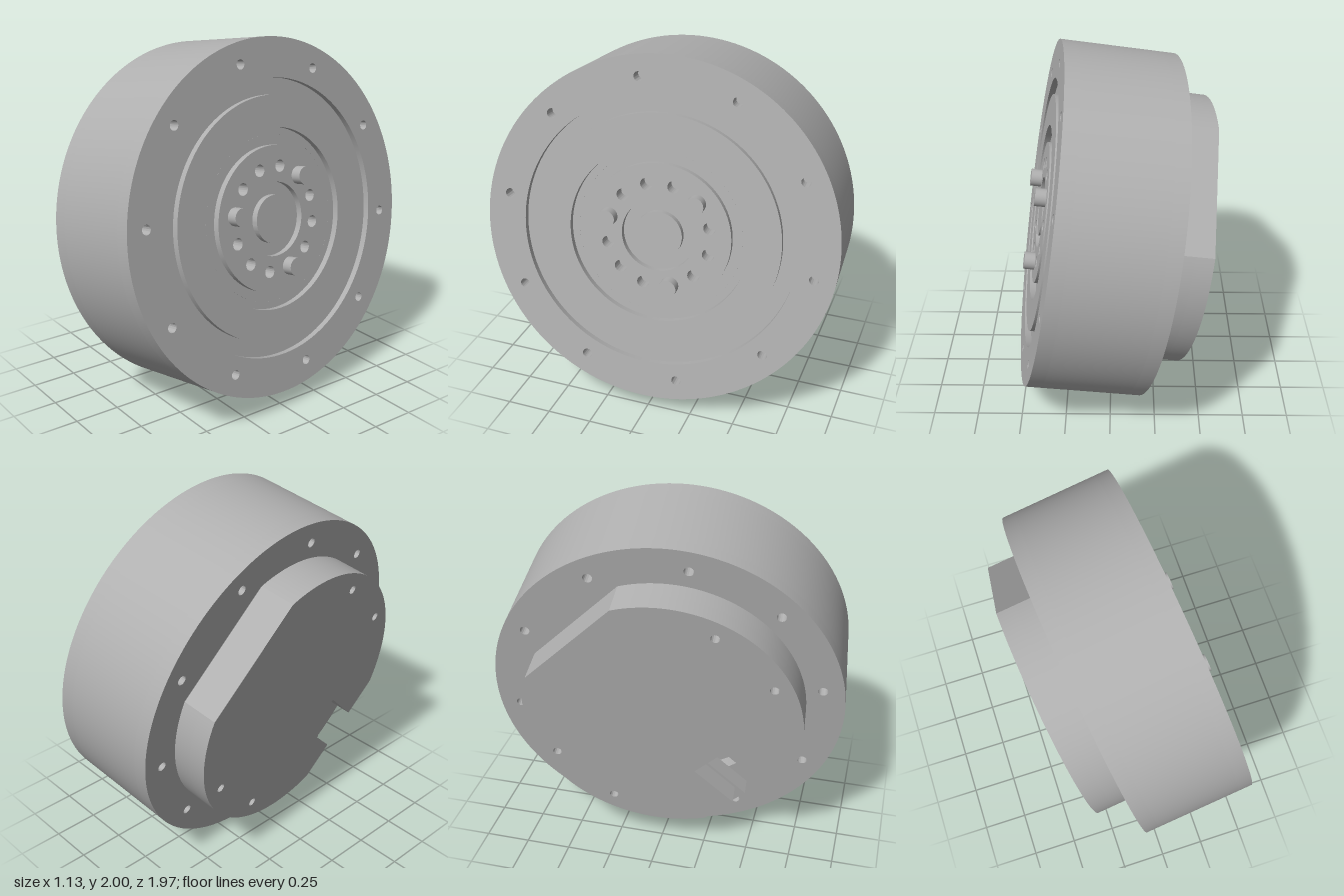
import * as THREE from 'three';
import { toCreasedNormals } from 'three/addons/utils/BufferGeometryUtils.js';

const BODY_R = 0.962, BODY_LEN = 0.63, RIM_IN = 0.75;
const COVER_R = 0.755, COVER_LEN = 0.205;
const HOLE_DEPTH = 0.08, GROOVE = 0.035;
const deg = THREE.MathUtils.degToRad;

const circle = (r, x = 0, y = 0) => {
  const p = new THREE.Path();
  p.absarc(x, y, r, 0, Math.PI * 2, true);
  return p;
};
const disc = (r) => {
  const s = new THREE.Shape();
  s.absarc(0, 0, r, 0, Math.PI * 2, false);
  return s;
};
const polar = (r, a) => [r * Math.cos(deg(a)), r * Math.sin(deg(a))];

export function createModel() {
  const metal = new THREE.MeshStandardMaterial({ color: 0xb0b0b0 });
  metal.name = 'grey metal';

  const model = new THREE.Group();
  model.name = 'actuator';
  // Local frame: z runs along the drum axis, z = 0 is the output face
  const drum = new THREE.Group();
  drum.name = 'drum';
  model.add(drum);

  const add = (name, geometry, parent = drum) => {
    const mesh = new THREE.Mesh(geometry, metal);
    mesh.name = name;
    parent.add(mesh);
    return mesh;
  };
  // Plate between z0 and z1 with crisp edges and smooth curved walls
  const plate = (name, shape, z0, z1, parent = drum, segments = 48) => {
    const g = new THREE.ExtrudeGeometry(shape, {
      depth: z1 - z0, bevelEnabled: false, curveSegments: segments,
    });
    g.translate(0, 0, z0);
    return add(name, toCreasedNormals(g, 0.4), parent);
  };
  const ring = (outer, inner) => {
    const s = disc(outer);
    if (inner) s.holes.push(circle(inner));
    return s;
  };

  // Main housing: solid middle with drilled rims at both ends
  plate('housing', disc(BODY_R), -BODY_LEN + HOLE_DEPTH, -HOLE_DEPTH, drum, 96);
  const rim = (inner) => {
    const s = ring(BODY_R, inner);
    for (let i = 0; i < 10; i++) s.holes.push(circle(0.026, ...polar(0.848, 99 + 36 * i)));
    return s;
  };
  plate('frontRim', rim(RIM_IN), -HOLE_DEPTH, 0, drum, 96);
  plate('backRim', rim(0.6), -BODY_LEN, -BODY_LEN + HOLE_DEPTH, drum, 96);

  // Output face: rings separated by shallow grooves
  plate('grooveFloor', ring(RIM_IN, 0.45), -HOLE_DEPTH, -GROOVE, drum, 96);
  plate('bearingRing', ring(0.66, 0.49), -GROOVE, 0, drum, 96);
  const flange = (outer, inner) => {
    const s = ring(outer, inner);
    for (let i = 0; i < 12; i++) {
      if (i % 4 !== 1) s.holes.push(circle(0.033, ...polar(0.285, 15 + 30 * i)));
    }
    return s;
  };
  plate('flangeBase', flange(0.45), -HOLE_DEPTH, -GROOVE);
  plate('outputFlange', flange(0.395, 0.2), -GROOVE, 0);
  plate('centreBoss', disc(0.13), -GROOVE, 0);

  // Three locating pins among the flange holes
  for (const a of [45, 165, 285]) {
    const pin = add('locatingPin', new THREE.CylinderGeometry(0.049, 0.049, 0.09, 32));
    pin.rotation.x = Math.PI / 2;
    pin.position.set(...polar(0.285, a), 0.015);
  }

  // Rear cover: disc with two flats, the lower one notched for the connector
  const cover = new THREE.Group();
  cover.name = 'rearCover';
  cover.rotation.z = deg(225);
  drum.add(cover);
  const half = deg(27);
  const flat = COVER_R * Math.cos(half);
  const outline = () => {
    const s = new THREE.Shape();
    s.absarc(0, 0, COVER_R, half, Math.PI - half, false);
    s.absarc(0, 0, COVER_R, Math.PI + half, Math.PI * 2 - half, false);
    s.lineTo(flat, -0.11);
    s.lineTo(0.37, -0.11);
    s.lineTo(0.37, 0.12);
    s.lineTo(flat, 0.12);
    s.closePath();
    return s;
  };
  const drilled = outline();
  for (const a of [71, 109, 251, 289]) drilled.holes.push(circle(0.024, ...polar(0.66, a)));
  const back = -BODY_LEN - COVER_LEN;
  plate('coverBack', drilled, back, back + 0.1, cover);
  plate('coverFront', outline(), back + 0.1, -BODY_LEN, cover);

  // Connector tab standing proud of the lower flat
  const tab = add('connectorTab', new THREE.BoxGeometry(0.36, 0.09, 0.095), cover);
  tab.position.set(0.56, 0.15, -BODY_LEN - 0.0475);

  // Tilt the drum axis and place the output face
  const axis = new THREE.Vector3(0.984, 0.157, -0.085).normalize();
  const up = new THREE.Vector3(0, 1, 0).addScaledVector(axis, -axis.y).normalize();
  const side = new THREE.Vector3().crossVectors(up, axis);
  drum.quaternion.setFromRotationMatrix(new THREE.Matrix4().makeBasis(side, up, axis));
  drum.position.set(0.395, 1.05, -0.03);
  return model;
}
